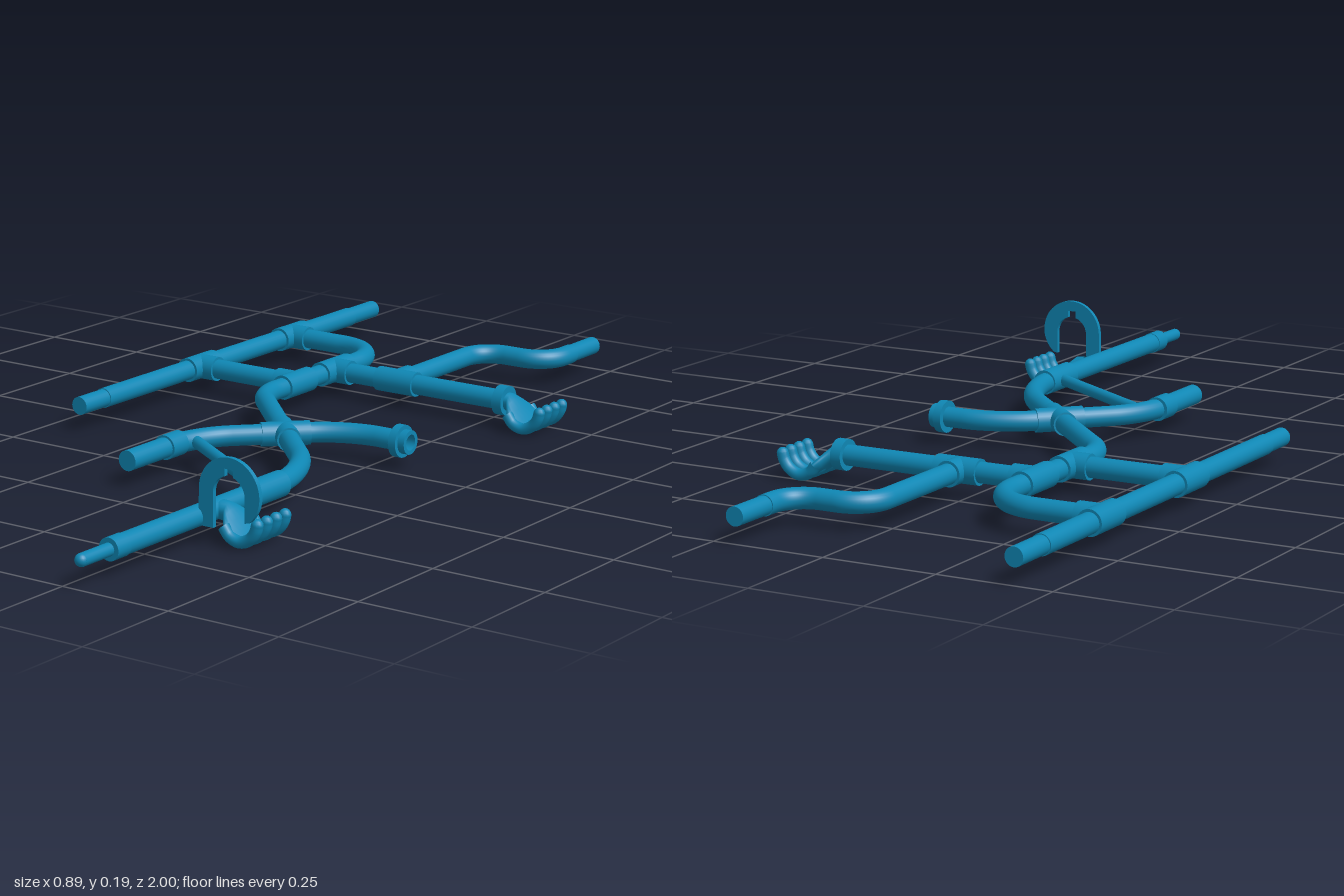
import * as THREE from 'three';

const Y = 0.055, R = 0.022, SLEEVE = 0.0275;
const mat = new THREE.MeshStandardMaterial({ color: 0x0f87b4 });
const matDouble = new THREE.MeshStandardMaterial({ color: 0x0f87b4, side: THREE.DoubleSide });
const at = ([x, z]) => new THREE.Vector3(x, Y, z);

export function createModel() {
  const root = new THREE.Group();

  const add = (name, geo, parent = root, m = mat) => {
    const mesh = new THREE.Mesh(geo, m);
    mesh.name = name;
    parent.add(mesh);
    return mesh;
  };

  // Straight capped cylinder between two [x, z] points
  const rod = (name, a, b, r = R, r2 = r) => {
    const p = at(a), q = at(b), d = q.clone().sub(p);
    const mesh = add(name, new THREE.CylinderGeometry(r2, r, d.length(), 24));
    mesh.position.copy(p).add(q).multiplyScalar(0.5);
    mesh.quaternion.setFromUnitVectors(new THREE.Vector3(0, 1, 0), d.normalize());
    return mesh;
  };

  // Bent pipe through [x, z, bendLength] corners, closed at both ends
  const pipe = (name, pts, segments = 90) => {
    const path = new THREE.CurvePath();
    let from = at(pts[0]);
    for (let i = 1; i < pts.length - 1; i++) {
      const c = at(pts[i]), k = pts[i][2];
      const a = at(pts[i - 1]).sub(c).setLength(k).add(c);
      const b = at(pts[i + 1]).sub(c).setLength(k).add(c);
      path.add(new THREE.LineCurve3(from, a));
      path.add(new THREE.CubicBezierCurve3(a, a.clone().lerp(c, 0.58), b.clone().lerp(c, 0.58), b));
      from = b;
    }
    path.add(new THREE.LineCurve3(from, at(pts[pts.length - 1])));
    add(name, new THREE.TubeGeometry(path, segments, R, 24));
    for (const t of [0, 1]) {
      const cap = add(name + 'Cap', new THREE.CircleGeometry(R, 24), root, matDouble);
      cap.position.copy(path.getPointAt(t));
      cap.lookAt(cap.position.clone().add(path.getTangentAt(t)));
    }
  };

  // Long side rail with slightly narrower ends
  const RX = -0.418;
  rod('sideRail', [RX, -0.9], [RX, 0.04]);
  rod('railBackEnd', [RX, -1], [RX, -0.9], 0.02);
  rod('railFrontEnd', [RX, 0.04], [RX, 0.123], 0.02);

  // Main pipe: leaves the rail, runs forward, crosses diagonally, straightens into the barrel
  const MX = -0.153, BX = 0.286;
  pipe('mainPipe', [[RX, -0.665], [MX, -0.665, 0.12], [MX, -0.185, 0.05], [BX, 0.254, 0.13], [BX, 0.45]], 140);
  rod('crossPipe', [RX, -0.312], [MX, -0.312]);
  rod('gripPipe', [MX, -0.46], [0.30, -0.46]);
  pipe('rearBentPipe', [[0.022, -0.46], [0.022, -0.803, 0.07], [0.2, -0.803, 0.07], [0.2, -0.9]]);
  rod('rearPipeEnd', [0.2, -0.9], [0.2, -1], 0.02);
  pipe('hookPipe', [[0.30, -0.053], [0.169, -0.053, 0.08], [-0.064, 0.18, 0.08], [-0.064, 0.405]]);

  // Tee fittings: sleeve along the run plus a branch stub
  const tee = (a, b, branch) => {
    rod('teeSleeve', a, b, SLEEVE);
    rod('teeBranch', [(a[0] + b[0]) / 2, (a[1] + b[1]) / 2], branch, SLEEVE);
  };
  tee([RX, -0.714], [RX, -0.616], [-0.368, -0.665]);
  tee([RX, -0.361], [RX, -0.263], [-0.368, -0.312]);
  tee([MX, -0.513], [MX, -0.407], [-0.105, -0.46]);
  tee([MX, -0.361], [MX, -0.263], [-0.2, -0.312]);
  tee([-0.028, -0.46], [0.072, -0.46], [0.022, -0.505]);

  // Cross fitting where the diagonals meet
  for (const s of [1, -1]) {
    rod('crossFitting', [0.074 - 0.037, 0.042 - 0.037 * s], [0.074 + 0.037, 0.042 + 0.037 * s], 0.026);
  }

  // Barrel with sleeve, narrow rounded muzzle and diagonal brace
  rod('barrelSleeve', [BX, 0.354], [BX, 0.46], SLEEVE);
  rod('barrel', [BX, 0.45], [BX, 0.87]);
  rod('barrelEndRing', [BX, 0.865], [BX, 0.905], 0.0235);
  rod('muzzle', [BX, 0.9], [BX, 0.987], 0.0135);
  add('muzzleTip', new THREE.SphereGeometry(0.0135, 20, 12)).position.set(BX, Y, 0.9865);
  rod('hookSleeve', [-0.064, 0.23], [-0.064, 0.28], 0.0265);
  rod('brace', [-0.045, 0.2], [0.272, 0.405], 0.013);

  // Hollow collar on the hook end
  const collar = add('hookCollar', new THREE.LatheGeometry([
    [0, 0], [0.035, 0], [0.035, 0.018], [0.026, 0.018], [0.026, 0.034], [0.017, 0.034], [0.017, 0.012], [0, 0.012],
  ].flatMap(([x, y], i) => i ? [new THREE.Vector2(x, y), new THREE.Vector2(x, y)] : [new THREE.Vector2(x, y)]), 24), root, matDouble);
  collar.rotation.z = -Math.PI / 2;
  collar.position.set(0.294, Y, -0.053);
  rod('gripCollar', [0.288, -0.46], [0.312, -0.46], 0.033);

  // Cupped hand: lofted palm [x, y, halfHeight, halfWidth] and four curled fingers
  const sections = [[0.3, 0.055, 0.02, 0.022], [0.32, 0.053, 0.02, 0.024], [0.332, 0.043, 0.02, 0.04],
    [0.347, 0.03, 0.017, 0.056], [0.365, 0.018, 0.012, 0.057], [0.38, 0.014, 0.008, 0.055]];
  const makeHand = (z) => {
    const hand = new THREE.Group();
    hand.name = 'hand';
    hand.position.z = z;
    root.add(hand);
    const N = 24, pos = [], idx = [];
    sections.forEach(([x, y, h, w], i) => {
      for (let j = 0; j < N; j++) {
        const a = (j / N) * Math.PI * 2;
        pos.push(x, y + h * Math.sin(a), w * Math.cos(a));
        const k = (j + 1) % N;
        if (i) idx.push((i - 1) * N + j, i * N + k, i * N + j, (i - 1) * N + j, (i - 1) * N + k, i * N + k);
      }
    });
    const palm = new THREE.BufferGeometry();
    palm.setAttribute('position', new THREE.Float32BufferAttribute(pos, 3));
    palm.setIndex(idx);
    palm.computeVertexNormals();
    add('palm', palm, hand, matDouble);
    const curl = [[0.338, 0.038], [0.353, 0.02], [0.378, 0.0125], [0.402, 0.023], [0.415, 0.04], [0.419, 0.054]];
    for (let i = 0; i < 4; i++) {
      const fz = (i - 1.5) * 0.0305;
      const curve = new THREE.CatmullRomCurve3(curl.map(([x, y]) => new THREE.Vector3(x, y, fz)));
      add('finger', new THREE.TubeGeometry(curve, 24, 0.0125, 12), hand);
      add('fingertip', new THREE.SphereGeometry(0.0125, 12, 8), hand).position.set(0.419, 0.054, fz);
    }
  };
  makeHand(-0.46);
  makeHand(0.567);

  // Flat hooked guard plate with a notched opening
  const g = new THREE.Shape();
  g.moveTo(0.296, 0.04);
  g.lineTo(0.298, 0.115);
  g.absarc(0.3705, 0.115, 0.0725, Math.PI, 0, true);
  g.quadraticCurveTo(0.442, 0.085, 0.418, 0.064);
  g.lineTo(0.408, 0.062);
  g.lineTo(0.408, 0.112);
  g.absarc(0.37, 0.112, 0.038, 0, 1.3, false);
  g.lineTo(0.38, 0.164);
  g.lineTo(0.36, 0.164);
  g.absarc(0.37, 0.112, 0.038, Math.PI - 1.3, Math.PI, false);
  g.lineTo(0.332, 0.04);
  const plate = add('guardPlate', new THREE.ExtrudeGeometry(g, { depth: 0.01, bevelEnabled: false, curveSegments: 32 }));
  plate.position.z = 0.629;

  return root;
}
